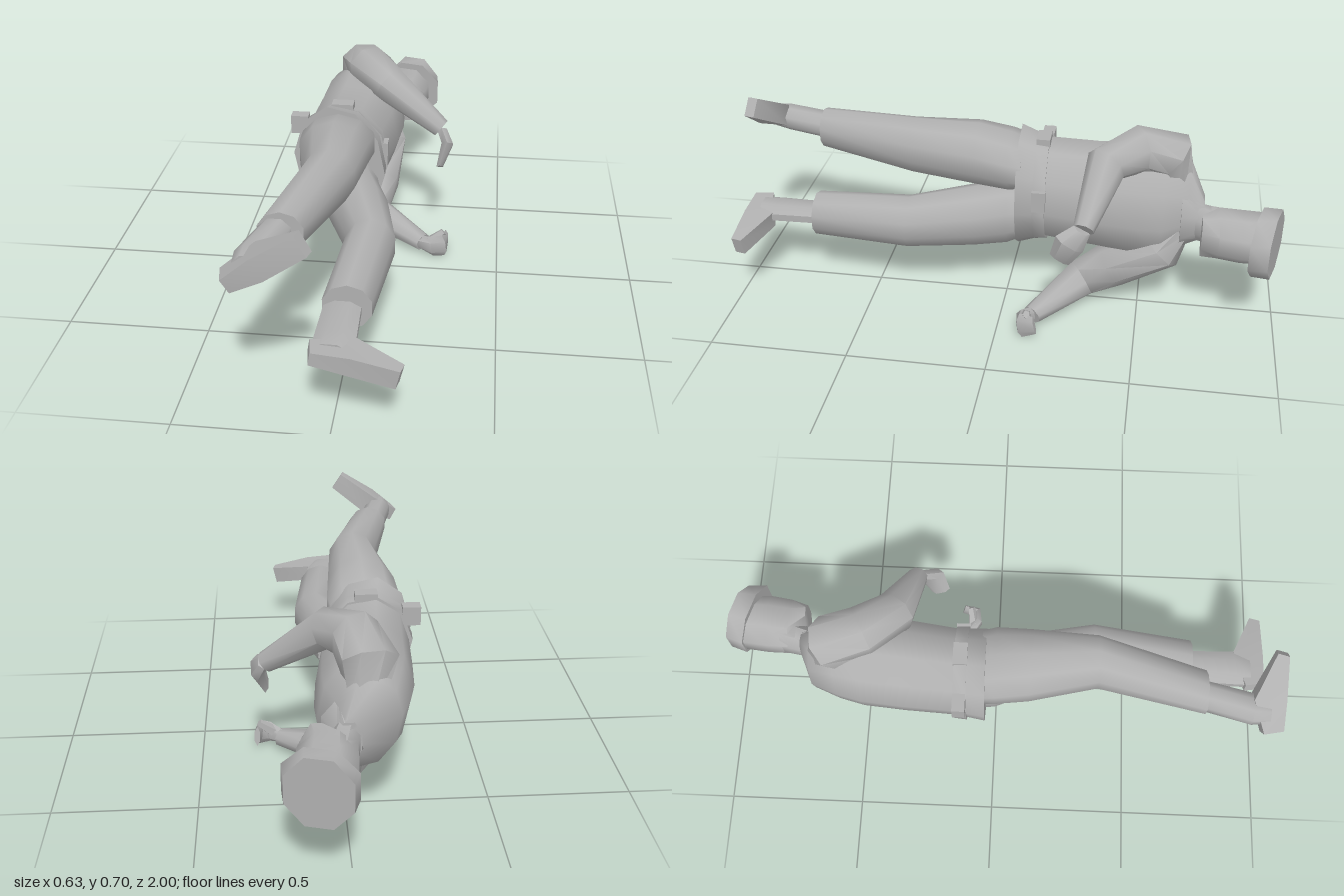
import * as THREE from 'three';
import { toCreasedNormals } from 'three/addons/utils/BufferGeometryUtils.js';

const clothGrey = new THREE.MeshStandardMaterial({ color: 0xb0b0b0 });
clothGrey.name = 'grey';

// Loft through stations [x, y, z, a, b]: b is the half size towards y, a the half size across it.
// Rings follow the path, or all face along dir when it is given.
function loft(stations, sides, dir) {
  const pos = [], index = [];
  const centres = stations.map(s => new THREE.Vector3(s[0], s[1], s[2]));
  const last = stations.length - 1;
  const grow = 1 / Math.cos(Math.PI / sides);
  stations.forEach(([, , , a, b], i) => {
    const t = dir ? dir.clone().normalize() : new THREE.Vector3();
    if (!dir) {
      if (i > 0) t.add(centres[i].clone().sub(centres[i - 1]).normalize());
      if (i < last) t.add(centres[i + 1].clone().sub(centres[i]).normalize());
      t.normalize();
    }
    const v = new THREE.Vector3(0, 1, 0).addScaledVector(t, -t.y).normalize();
    const w = v.clone().cross(t);
    for (let j = 0; j < sides; j++) {
      const q = (j + 0.5) / sides * Math.PI * 2;
      const p = centres[i].clone()
        .addScaledVector(w, a * grow * Math.cos(q))
        .addScaledVector(v, b * grow * Math.sin(q));
      pos.push(p.x, p.y, p.z);
    }
  });
  const first = pos.length / 3;
  pos.push(...centres[0].toArray(), ...centres[last].toArray());
  for (let j = 0; j < sides; j++) {
    const k = (j + 1) % sides;
    for (let i = 0; i < last; i++) {
      const p = i * sides, n = p + sides;
      index.push(p + j, p + k, n + k, p + j, n + k, n + j);
    }
    index.push(first, k, j, first + 1, last * sides + j, last * sides + k);
  }
  const g = new THREE.BufferGeometry();
  g.setAttribute('position', new THREE.Float32BufferAttribute(pos, 3));
  g.setIndex(index);
  return toCreasedNormals(g, 0.9);
}

// Loft along the body from slices [z, xMin, xMax, yMin, yMax], listed with rising z.
function slices(list, sides) {
  const stations = list.map(([z, x0, x1, y0, y1]) =>
    [(x0 + x1) / 2, (y0 + y1) / 2, z, (x1 - x0) / 2, (y1 - y0) / 2]);
  return loft(stations, sides, new THREE.Vector3(0, 0, 1));
}

// Turn a part of the trunk about the body's long axis.
const turn = g => g.translate(0.09, -0.41, 0).rotateZ(0.2).translate(-0.09, 0.41, 0);

export function createModel() {
  const model = new THREE.Group();
  model.name = 'lyingFigure';
  const add = (name, geometry) => {
    const m = new THREE.Mesh(geometry, clothGrey);
    m.name = name;
    model.add(m);
    return m;
  };
  const box = (name, x, y, z, w, h, d) =>
    add(name, new THREE.BoxGeometry(w, h, d)).position.set(x, y, z);

  // Jacket, with the head end at -z and the chest facing +x
  add('jacket', turn(slices([
    [-0.715, -0.05, 0.03, 0.315, 0.45],
    [-0.66, -0.165, 0.04, 0.25, 0.56],
    [-0.57, -0.20, 0.085, 0.20, 0.605],
    [-0.48, -0.222, 0.09, 0.20, 0.61],
    [-0.33, -0.235, 0.08, 0.215, 0.60],
    [-0.14, -0.245, 0.055, 0.23, 0.60],
    [-0.035, -0.262, 0.056, 0.195, 0.637],
  ], 10)));

  // Belt with buckle and pouches
  add('belt', turn(slices([
    [-0.145, -0.257, 0.062, 0.222, 0.608],
    [-0.10, -0.261, 0.062, 0.215, 0.615],
  ], 10)));
  box('buckle', 0.055, 0.435, -0.123, 0.03, 0.08, 0.05);
  box('sidePouch', -0.10, 0.61, -0.123, 0.08, 0.03, 0.05);
  box('backPouch', -0.262, 0.535, -0.123, 0.065, 0.07, 0.045);

  // Neck, collar and head
  add('neck', slices([
    [-0.80, -0.02, 0.09, 0.31, 0.44],
    [-0.74, -0.03, 0.075, 0.31, 0.44],
    [-0.66, -0.045, 0.045, 0.31, 0.445],
  ], 8));
  add('collar', slices([
    [-0.715, -0.04, 0.04, 0.31, 0.45],
    [-0.635, -0.09, 0.085, 0.28, 0.49],
  ], 8));
  add('head', slices([
    [-0.94, -0.01, 0.175, 0.285, 0.455],
    [-0.85, -0.02, 0.178, 0.285, 0.455],
    [-0.77, -0.022, 0.165, 0.29, 0.455],
    [-0.71, 0.06, 0.145, 0.30, 0.45],
  ], 8));
  add('cap', loft([
    [0.10, 0.365, -0.905, 0.122, 0.115],
    [0.108, 0.365, -0.970, 0.108, 0.120],
  ], 8, new THREE.Vector3(0.27, 0, -0.96)));

  // Trousers
  add('rearTrouserLeg', slices([
    [-0.05, -0.235, 0.02, 0.42, 0.605],
    [0.0, -0.235, 0.03, 0.415, 0.625],
    [0.12, -0.225, 0.02, 0.425, 0.65],
    [0.36, -0.175, 0.00, 0.455, 0.66],
    [0.735, -0.255, -0.11, 0.485, 0.625],
  ], 10));
  add('frontTrouserLeg', slices([
    [-0.05, -0.19, 0.035, 0.22, 0.44],
    [0.0, -0.18, 0.047, 0.20, 0.44],
    [0.12, -0.13, 0.09, 0.205, 0.43],
    [0.36, -0.03, 0.14, 0.215, 0.405],
    [0.725, -0.06, 0.10, 0.215, 0.37],
  ], 10));

  // Ankles and feet
  add('rearAnkle', slices([
    [0.70, -0.24, -0.14, 0.51, 0.605],
    [0.89, -0.29, -0.185, 0.515, 0.605],
    [0.95, -0.285, -0.20, 0.525, 0.60],
  ], 8));
  add('frontAnkle', slices([
    [0.70, -0.055, 0.065, 0.25, 0.315],
    [0.89, -0.06, 0.07, 0.25, 0.315],
    [0.95, -0.06, 0.05, 0.255, 0.31],
  ], 8));
  add('rearFoot', loft([
    [-0.305, 0.523, 0.965, 0.035, 0.026],
    [-0.205, 0.582, 0.945, 0.055, 0.040],
    [-0.07, 0.670, 0.980, 0.020, 0.036],
  ], 4));
  add('frontFoot', loft([
    [-0.065, 0.288, 0.965, 0.035, 0.022],
    [0.06, 0.268, 0.945, 0.055, 0.032],
    [0.21, 0.232, 0.980, 0.020, 0.034],
  ], 4));

  // Arms, from shoulder over the bent elbow to the wrist
  add('upperSideArm', loft([
    [-0.06, 0.48, -0.64, 0.055, 0.04],
    [-0.07, 0.595, -0.59, 0.092, 0.085],
    [-0.035, 0.627, -0.47, 0.085, 0.08],
    [0.055, 0.605, -0.36, 0.072, 0.065],
    [0.26, 0.455, -0.305, 0.035, 0.034],
  ], 8));
  add('lowerSideArm', loft([
    [-0.02, 0.36, -0.63, 0.07, 0.05],
    [0.005, 0.26, -0.57, 0.095, 0.085],
    [0.0, 0.16, -0.40, 0.085, 0.08],
    [-0.005, 0.08, -0.285, 0.072, 0.066],
    [0.21, 0.042, -0.125, 0.036, 0.03],
  ], 8));

  // Open hand
  add('openHand', loft([
    [0.262, 0.455, -0.30, 0.02, 0.028],
    [0.287, 0.41, -0.26, 0.022, 0.048],
    [0.262, 0.328, -0.225, 0.012, 0.034],
  ], 6, new THREE.Vector3(0, -0.85, 0.5)));

  // Curled hand with thumb
  add('curledHand', loft([
    [0.20, 0.045, -0.125, 0.022, 0.022],
    [0.25, 0.047, -0.09, 0.018, 0.036],
    [0.29, 0.05, -0.095, 0.016, 0.042],
    [0.298, 0.06, -0.145, 0.01, 0.032],
  ], 6));
  add('thumb', loft([
    [0.24, 0.06, -0.105, 0.018, 0.018],
    [0.29, 0.100, -0.115, 0.011, 0.012],
  ], 5));

  return model;
}
